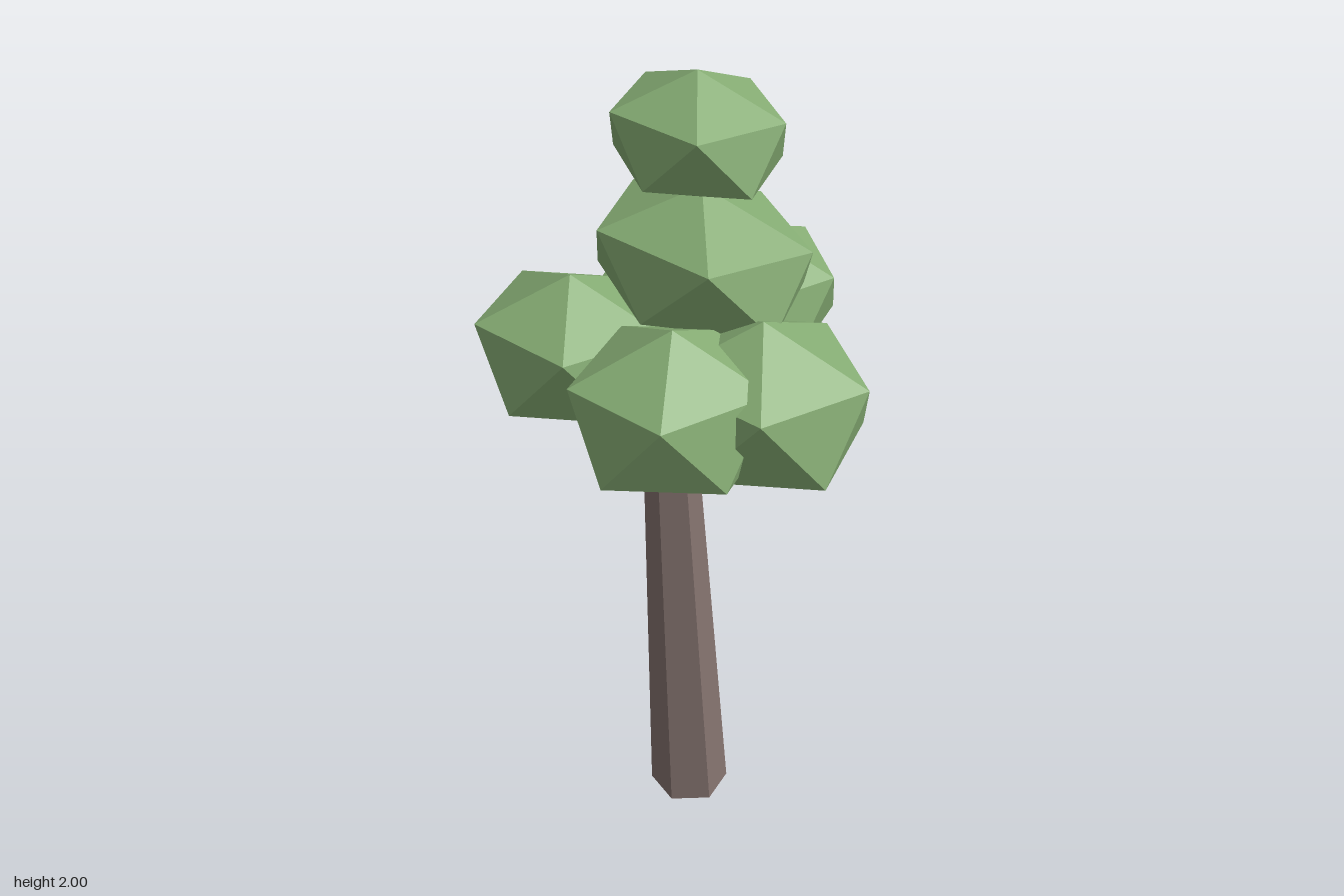
import * as THREE from 'three';
import { ConvexGeometry } from 'three/addons/geometries/ConvexGeometry.js';

const bark = new THREE.MeshStandardMaterial({ color: 0x85736f, flatShading: true });
const leaf = new THREE.MeshStandardMaterial({ color: 0x86ad74, flatShading: true });

// Pole-up icosahedron, squashed to the given radii
function foliage(name, [x, y, z], [rx, ry, rz]) {
  const h = 1 / Math.sqrt(5), r = 2 * h;
  const points = [new THREE.Vector3(0, 1, 0), new THREE.Vector3(0, -1, 0)];
  for (let i = 0; i < 5; i++) {
    const a = (i * Math.PI * 2) / 5;
    points.push(new THREE.Vector3(r * Math.cos(a), h, r * Math.sin(a)));
    points.push(new THREE.Vector3(-r * Math.cos(a), -h, -r * Math.sin(a)));
  }
  points.forEach((p) => p.set(p.x * rx, p.y * ry, p.z * rz));
  const mesh = new THREE.Mesh(new ConvexGeometry(points), leaf);
  mesh.name = name;
  mesh.position.set(x, y, z);
  return mesh;
}

// Thin tapered limb between two points
function branch(name, from, to) {
  const a = new THREE.Vector3(...from), b = new THREE.Vector3(...to);
  const dir = b.clone().sub(a);
  const mesh = new THREE.Mesh(new THREE.CylinderGeometry(0.018, 0.026, dir.length(), 5), bark);
  mesh.name = name;
  mesh.position.copy(a).add(b).multiplyScalar(0.5);
  mesh.quaternion.setFromUnitVectors(new THREE.Vector3(0, 1, 0), dir.normalize());
  return mesh;
}

export function createModel() {
  const tree = new THREE.Group();
  tree.name = 'tree';

  // Six-sided trunk, tapering and leaning slightly back
  const height = 1.25;
  const geo = new THREE.CylinderGeometry(0.056, 0.097, height, 6);
  geo.rotateY(-0.3).translate(0, height / 2, 0);
  const pos = geo.attributes.position;
  for (let i = 0; i < pos.count; i++) {
    const t = pos.getY(i) / height;
    pos.setX(i, pos.getX(i) - 0.014 - 0.034 * t);
    pos.setZ(i, pos.getZ(i) - 0.014 - 0.034 * t);
  }
  const trunk = new THREE.Mesh(geo, bark);
  trunk.name = 'trunk';
  tree.add(trunk);

  // Branches reaching into the foliage
  tree.add(
    branch('backLeftBranch', [-0.01, 0.91, -0.03], [0.13, 1.13, -0.23]),
    branch('frontBranch', [-0.03, 0.98, -0.01], [-0.04, 1.2, 0.2]),
    branch('leftBranch', [-0.02, 1.0, -0.03], [0.18, 1.28, -0.03]),
    branch('rightBranch', [-0.05, 1.08, -0.02], [-0.19, 1.26, 0.1]),
    branch('backRightBranch', [-0.05, 1.0, -0.06], [-0.13, 1.22, -0.21]),
  );

  // Foliage clumps: centre, radii
  tree.add(
    foliage('topFoliage', [-0.035, 1.86, 0.03], [0.187, 0.14, 0.217]),
    foliage('crownFoliage', [0.047, 1.52, -0.027], [0.225, 0.172, 0.296]),
    foliage('frontFoliage', [-0.045, 1.3, 0.219], [0.25, 0.198, 0.268]),
    foliage('rightFoliage', [-0.21, 1.32, 0.112], [0.254, 0.192, 0.243]),
    foliage('backRightFoliage', [-0.147, 1.3, -0.237], [0.232, 0.182, 0.253]),
    foliage('backLeftFoliage', [0.142, 1.187, -0.236], [0.185, 0.165, 0.252]),
    foliage('leftFoliage', [0.222, 1.355, -0.037], [0.231, 0.165, 0.226]),
  );
  return tree;
}
